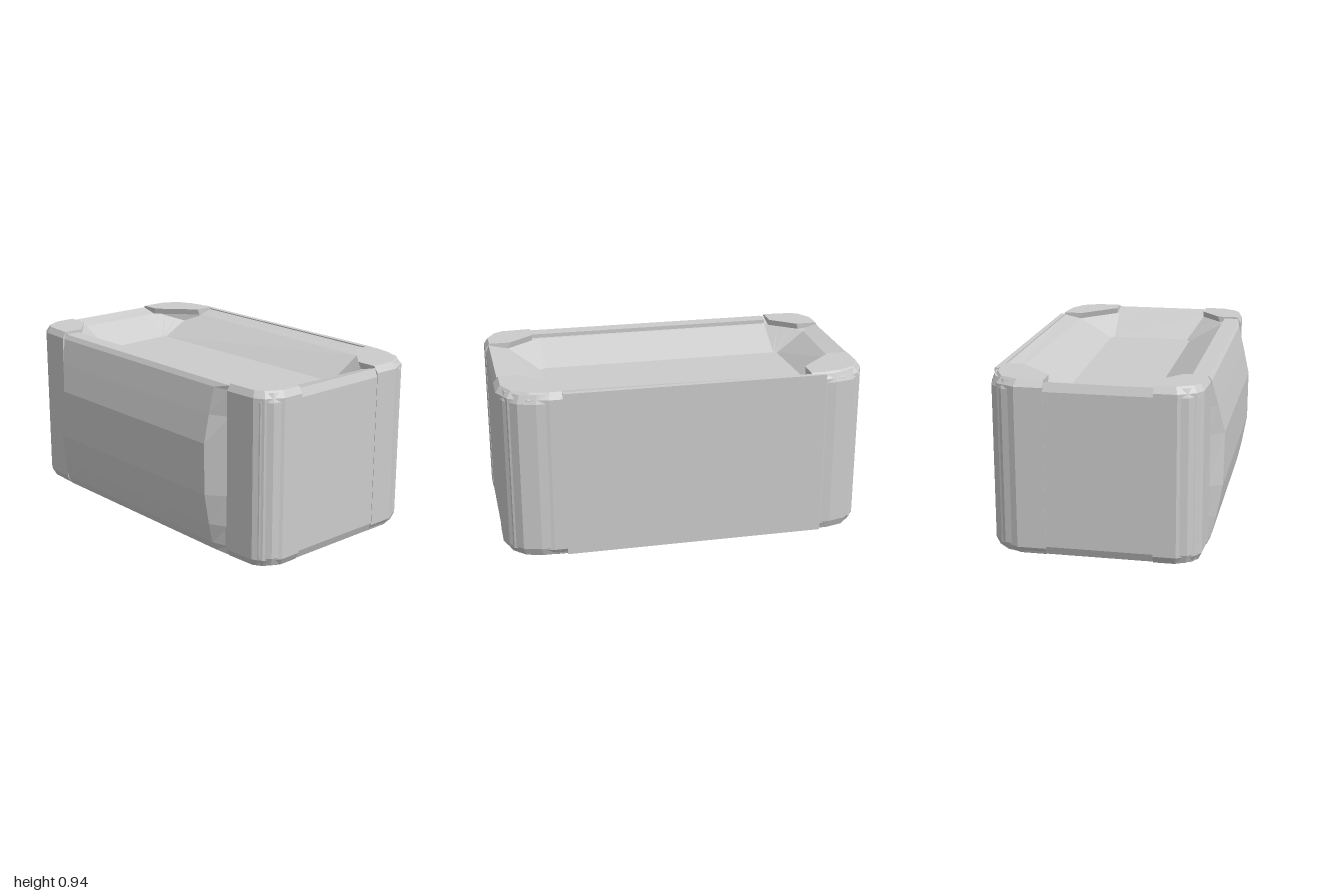
import * as THREE from 'three';

const grey = new THREE.MeshStandardMaterial({ color: 0xcccccc, flatShading: true });

// Joins horizontal rings [{ y, pts: [[x, z], ...] }] from first to last and caps both ends
function loft(name, rings) {
  const base = rings.reduce((a, b) => (b.y > a.y ? b : a)).pts;
  const n = base.length;
  let area = 0;
  base.forEach(([x, z], i) => {
    const [x2, z2] = base[(i + 1) % n];
    area += x2 * z - x * z2;
  });
  const pos = [], idx = [];
  for (const { y, pts } of rings) {
    const ordered = area < 0 ? [...pts].reverse() : pts;
    for (const [x, z] of ordered) pos.push(x, y, z);
  }
  for (let r = 0; r < rings.length - 1; r++) {
    for (let i = 0; i < n; i++) {
      const j = (i + 1) % n, a = r * n, b = a + n;
      idx.push(a + i, a + j, b + j, a + i, b + j, b + i);
    }
  }
  const last = (rings.length - 1) * n;
  for (let i = 1; i < n - 1; i++) {
    idx.push(0, i + 1, i);
    idx.push(last, last + i, last + i + 1);
  }
  const geo = new THREE.BufferGeometry();
  geo.setAttribute('position', new THREE.Float32BufferAttribute(pos, 3));
  geo.setIndex(idx);
  const flat = geo.toNonIndexed();
  flat.computeVertexNormals();
  const mesh = new THREE.Mesh(flat, grey);
  mesh.name = name;
  return mesh;
}

// Rectangle with faceted round corners, counter-clockwise from above
function roundRect(halfX, back, front, rBack, rFront) {
  const pts = [];
  const corners = [[1, back, rBack], [-1, back, rBack], [-1, front, rFront], [1, front, rFront]];
  corners.forEach(([sx, z, r], c) => {
    const cz = z === back ? z + r : z - r;
    for (let k = 0; k < 4; k++) {
      const a = (c + k / 3) * Math.PI / 2;
      pts.push([sx * (halfX - r) + r * Math.cos(a), cz - r * Math.sin(a)]);
    }
  });
  return pts;
}

// Rectangle with straight cut corners, each given as x0, z0, x1, z1
function cutRect(...corners) {
  return corners.flatMap(([x0, z0, x1, z1]) =>
    [0, 1, 2, 3].map((k) => [x0 + (x1 - x0) * k / 3, z0 + (z1 - z0) * k / 3]));
}

export function createModel() {
  const group = new THREE.Group();
  group.name = 'trough';

  // Body with a sloped recess in the top and another underneath
  const outer = roundRect(0.998, -0.597, 0.52, 0.19, 0.13);
  const lip = roundRect(0.98, -0.58, 0.505, 0.18, 0.12);
  const opening = cutRect([0.89, -0.27, 0.68, -0.47], [-0.75, -0.5, -0.88, -0.25], [-0.89, 0.24, -0.7, 0.42], [0.68, 0.42, 0.87, 0.28]);
  const floor = cutRect([0.7, -0.26, 0.67, -0.28], [-0.72, -0.25, -0.74, -0.23], [-0.72, 0.21, -0.7, 0.22], [0.66, 0.22, 0.7, 0.2]);
  const underOpening = cutRect([0.85, -0.22, 0.67, -0.36], [-0.68, -0.36, -0.85, -0.22], [-0.85, 0.27, -0.69, 0.41], [0.64, 0.41, 0.85, 0.27]);
  const underFloor = cutRect([0.68, -0.23, 0.66, -0.25], [-0.66, -0.25, -0.68, -0.23], [-0.68, 0.2, -0.66, 0.22], [0.66, 0.22, 0.68, 0.2]);
  group.add(loft('body', [
    { y: 0.17, pts: underFloor },
    { y: 0.015, pts: underOpening },
    { y: 0.005, pts: lip },
    { y: 0.05, pts: outer },
    { y: 0.88, pts: outer },
    { y: 0.925, pts: lip },
    { y: 0.9, pts: opening },
    { y: 0.785, pts: floor },
  ]));

  // Corner posts: only their outer edges are chamfered, the seams stay straight
  const backPost = [[0.67, -0.48], [0.88, -0.28], [1, -0.28], [1, -0.43], [0.95, -0.53], [0.85, -0.58], [0.74, -0.6], [0.67, -0.6]];
  const frontPost = [[0.72, 0.4], [0.87, 0.28], [1, 0.28], [1, 0.4], [0.95, 0.49], [0.9, 0.52], [0.72, 0.53]];
  for (const side of [1, -1]) {
    for (const [name, pts] of [['backCornerPost', backPost], ['frontCornerPost', frontPost]]) {
      const px = pts[0][0], pz = pts[2][1];
      const ring = (y, s) => ({
        y, pts: pts.map(([x, z]) => [side * (px + (x - px) * s), pz + (z - pz) * s]),
      });
      group.add(loft(name, [ring(0, 0.92), ring(0.04, 1), ring(0.9, 1), ring(0.935, 0.92)]));
    }
  }

  // Bulging front panel with bevelled ends
  const rows = [
    [0.005, 0.52, 0], [0.05, 0.54, 0], [0.16, 0.565, 0.015], [0.33, 0.595, 0.035],
    [0.61, 0.597, 0.07], [0.76, 0.565, 0.03], [0.9, 0.532, 0], [0.925, 0.515, 0],
  ];
  group.add(loft('frontPanel', rows.map(([y, z, bevel]) => ({
    y, pts: [[-0.7, 0.43], [-0.7, 0.515], [-0.7 + bevel, z], [0.62, z], [0.72, 0.515], [0.72, 0.43]],
  }))));

  // Back panel with a thin flat top rail
  const backPanel = new THREE.Mesh(new THREE.BoxGeometry(1.42, 0.922, 0.03), grey);
  backPanel.position.set(-0.04, 0.467, -0.585);
  backPanel.name = 'backPanel';
  group.add(backPanel);

  return group;
}
